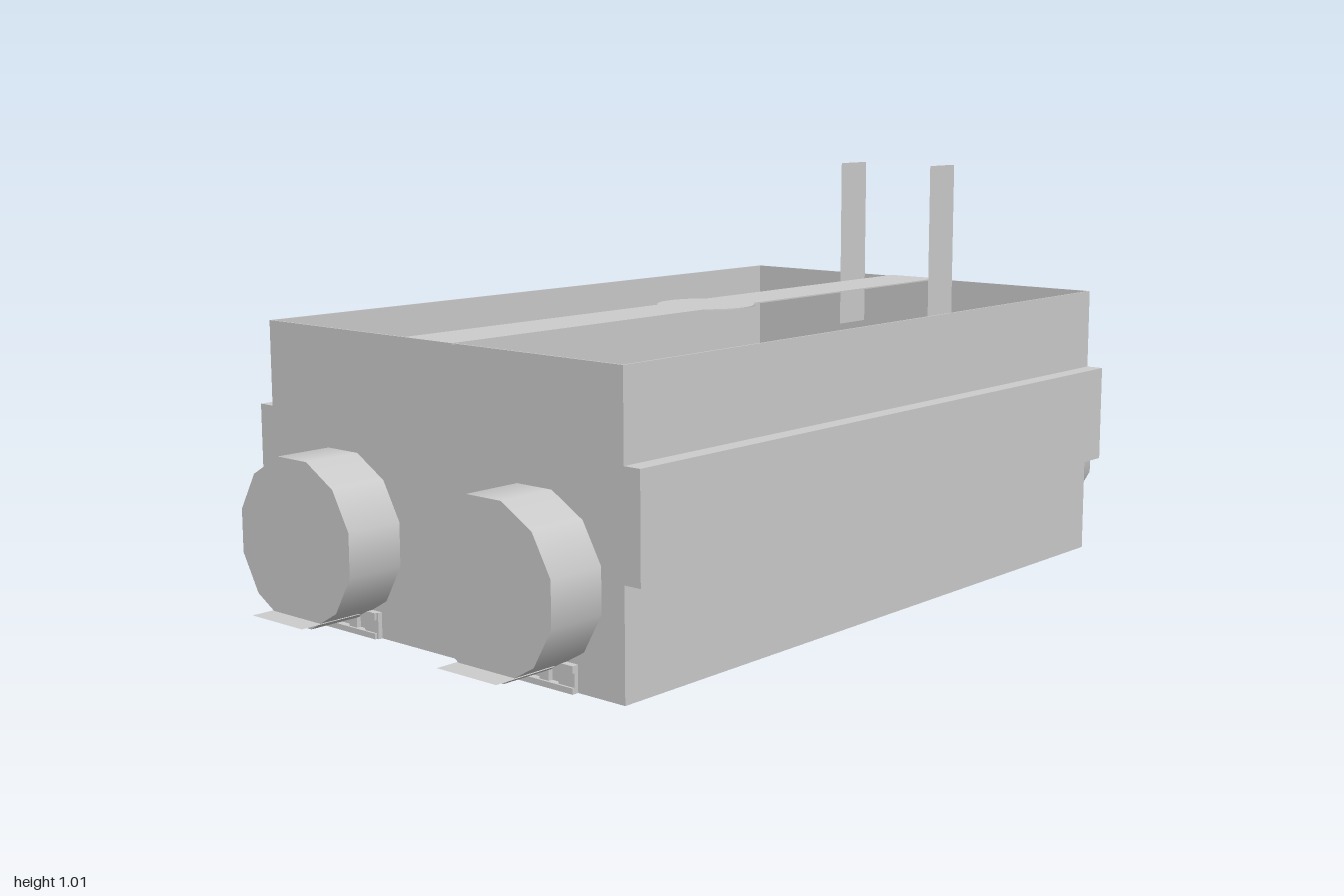
import * as THREE from 'three';

export function createModel() {
  const root = new THREE.Group();
  const mat = new THREE.MeshStandardMaterial({ color: 0xcccccc, side: THREE.DoubleSide });

  const add = (name, geo, x, y, z) => {
    const m = new THREE.Mesh(geo, mat);
    m.name = name;
    m.position.set(x, y, z);
    root.add(m);
    return m;
  };
  // box given by its minimum and maximum corners
  const box = (name, x0, x1, y0, y1, z0, z1) =>
    add(name, new THREE.BoxGeometry(x1 - x0, y1 - y0, z1 - z0), (x0 + x1) / 2, (y0 + y1) / 2, (z0 + z1) / 2);
  // the same box, mirrored to the given side in z
  const sideBox = (name, s, x0, x1, y0, y1, z0, z1) =>
    s > 0 ? box(name, x0, x1, y0, y1, z0, z1) : box(name, x0, x1, y0, y1, -z1, -z0);

  // open-topped housing
  for (const s of [-1, 1]) {
    sideBox('sideWall', s, -0.82, 0.82, 0.09, 0.72, 0.506, 0.51);
    box('endWall', s * 0.818 - 0.002, s * 0.818 + 0.002, 0.09, 0.72, -0.51, 0.51);
    sideBox('sideBand', s, -0.82, 0.82, 0.317, 0.537, 0.51, 0.55);
    sideBox('bottomPlate', s, -0.82, 0.82, 0.09, 0.096, 0.39, 0.51);
  }

  // recessed deck
  box('deck', -0.82, 0.82, 0.145, 0.15, -0.39, 0.39);

  // pair of long trays under the deck with rails, end bars and slot tabs
  for (const s of [-1, 1]) {
    sideBox('trayOuterRail', s, -0.83, 0.83, 0.09, 0.145, 0.36, 0.39);
    sideBox('trayInnerRail', s, -0.83, 0.83, 0.09, 0.145, 0.17, 0.195);
    for (const e of [-1, 1]) {
      const x = e * 0.825;
      sideBox('trayEndLip', s, x - 0.01, x + 0.01, 0.09, 0.102, 0.175, 0.39);
      sideBox('trayEndTop', s, x - 0.01, x + 0.01, 0.13, 0.145, 0.175, 0.39);
      for (const z of [0.2, 0.25, 0.31, 0.36])
        sideBox('trayEndBlock', s, x - 0.005, x + 0.005, 0.1, 0.132, z - 0.012, z + 0.012);
      sideBox('trayCrossBar', s, e * 0.74 - 0.012, e * 0.74 + 0.012, 0.095, 0.12, 0.17, 0.39);
    }
    for (let i = 0; i < 11; i++) {
      const x = -0.7 + i * 0.14;
      sideBox('slotTab', s, x - 0.025, x + 0.025, 0.105, 0.125, 0.16, 0.17);
    }
  }
  for (const e of [-1, 1]) box('bottomEndBar', e * 0.74 - 0.012, e * 0.74 + 0.012, 0.095, 0.12, -0.17, 0.17);

  // round duct collars through the end walls, each with a flat tab
  const collar = new THREE.CylinderGeometry(0.178, 0.178, 0.21, 12).rotateZ(Math.PI / 2).rotateX(Math.PI / 12);
  const tab = new THREE.PlaneGeometry(0.15, 0.16).rotateX(-Math.PI / 2);
  for (const e of [-1, 1]) for (const s of [-1, 1]) {
    add('ductCollar', collar, e * 0.845, 0.297, s * 0.28);
    add('collarTab', tab, e * 0.925, 0.142, s * 0.28);
  }

  // flat strap across the top with a round centre plate
  const a = Math.asin(0.07 / 0.11), dx = 0.11 * Math.cos(a);
  const strap = new THREE.Shape();
  strap.moveTo(-0.83, -0.07);
  strap.lineTo(-dx, -0.07);
  strap.absarc(0, 0, 0.11, Math.PI + a, 2 * Math.PI - a, false);
  strap.lineTo(0.82, -0.07);
  strap.lineTo(0.82, 0.07);
  strap.lineTo(dx, 0.07);
  strap.absarc(0, 0, 0.11, a, Math.PI - a, false);
  strap.lineTo(-0.83, 0.07);
  const strapGeo = new THREE.ExtrudeGeometry(strap, { depth: 0.003, bevelEnabled: false, curveSegments: 8 });
  add('topStrap', strapGeo.rotateX(-Math.PI / 2), 0, 0.719, 0);

  // rods hanging below the deck, each with a cap
  const rod = new THREE.CylinderGeometry(0.007, 0.007, 0.46, 8);
  const cap = new THREE.CylinderGeometry(0.05, 0.06, 0.025, 8);
  for (const x of [-0.53, -0.25, 0.245, 0.525]) {
    add('rod', rod, x, 0.23, 0);
    add('rodCap', cap, x, 0.46, 0);
  }

  // two upright strips near the left end
  for (const s of [-1, 1]) add('uprightStrip', new THREE.PlaneGeometry(0.105, 0.41), 0.738, 0.807, s * 0.135);

  return root;
}
